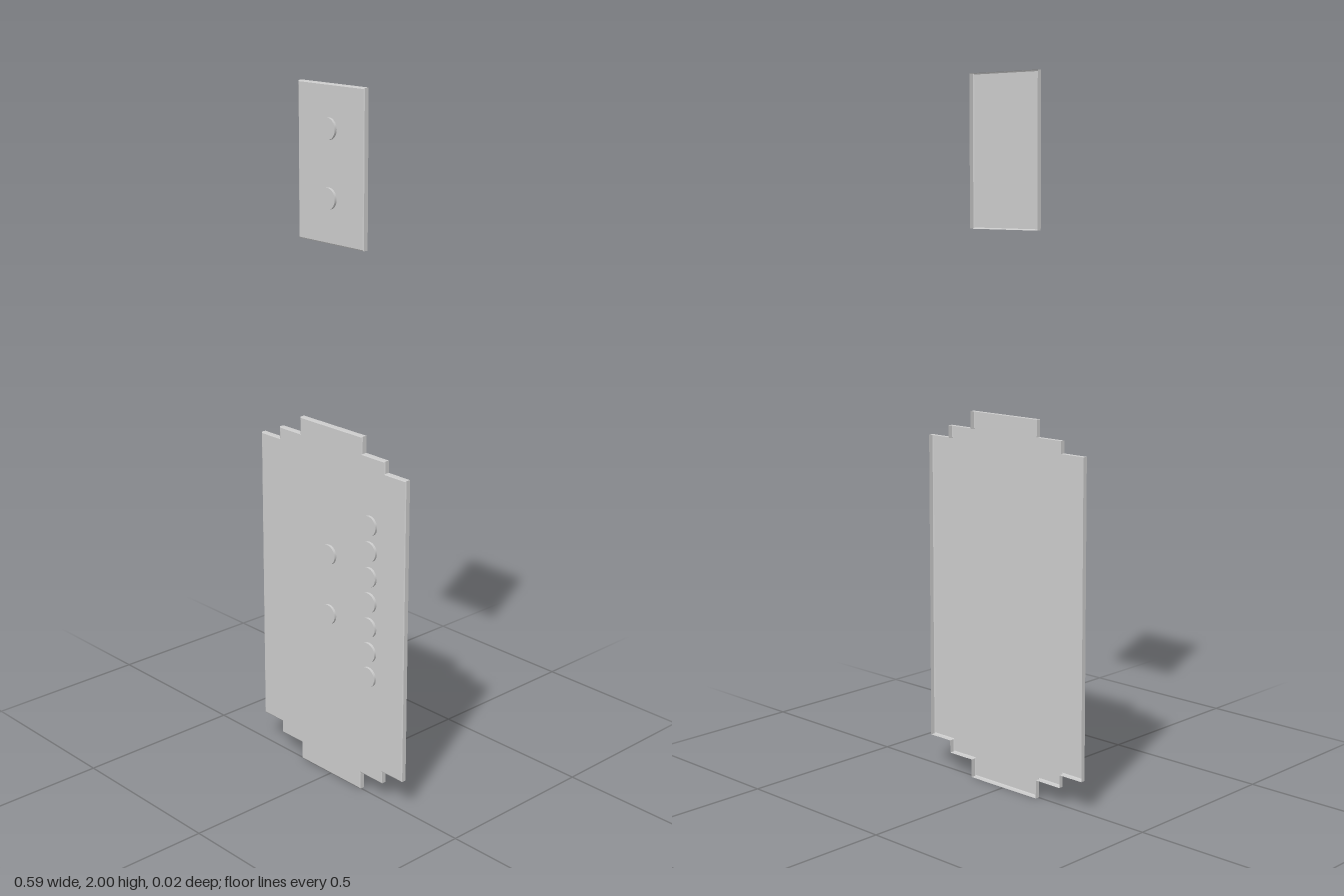
import * as THREE from 'three';

const BACK = -0.0115, SHOULDER = 0.002, FACE = 0.004, TIP = 0.0115, BEVEL = 0.003;

const material = new THREE.MeshStandardMaterial({ color: 0xcccccc, side: THREE.DoubleSide, flatShading: true });
const buttonMaterial = new THREE.MeshStandardMaterial({ color: 0xcccccc });

// Moves each corner of a right-angled counter-clockwise outline inward by d
function inset(points, d) {
  const n = points.length;
  const inward = (a, b) => {
    const e = b.clone().sub(a).normalize();
    return new THREE.Vector2(-e.y, e.x);
  };
  return points.map((p, i) => p.clone()
    .addScaledVector(inward(points[(i + n - 1) % n], p), d)
    .addScaledVector(inward(p, points[(i + 1) % n]), d));
}

// Strip of quads joining two matching outlines, facing outward
function wall(a, za, b, zb) {
  const pos = [];
  a.forEach((p, i) => {
    const j = (i + 1) % a.length;
    const p0 = [p.x, p.y, za], p1 = [a[j].x, a[j].y, za];
    const q0 = [b[i].x, b[i].y, zb], q1 = [b[j].x, b[j].y, zb];
    pos.push(...p0, ...p1, ...q1, ...p0, ...q1, ...q0);
  });
  const g = new THREE.BufferGeometry();
  g.setAttribute('position', new THREE.Float32BufferAttribute(pos, 3));
  g.computeVertexNormals();
  return g;
}

// Open-backed shallow tray with a bevelled front face
function panel(name, outline) {
  const group = new THREE.Group();
  group.name = name;
  const inner = inset(outline, BEVEL);
  const add = (part, geometry) => {
    const mesh = new THREE.Mesh(geometry, material);
    mesh.name = part;
    group.add(mesh);
  };
  add('sideWall', wall(outline, BACK, outline, SHOULDER));
  add('frontBevel', wall(outline, SHOULDER, inner, FACE));
  add('frontFace', new THREE.ShapeGeometry(new THREE.Shape(inner)).translate(0, 0, FACE));
  return group;
}

export function createModel() {
  const model = new THREE.Group();
  model.name = 'buttonPanels';

  // Main panel: the right half of the stepped outline, mirrored to the left
  const half = [
    [0.126, 0], [0.126, 0.053], [0.214, 0.053], [0.214, 0.09], [0.294, 0.09],
    [0.294, 0.988], [0.214, 0.988], [0.214, 1.023], [0.126, 1.023], [0.126, 1.072],
  ].map(([x, y]) => new THREE.Vector2(x, y));
  const mirrored = half.map(p => new THREE.Vector2(-p.x, p.y)).reverse();
  model.add(panel('mainPanel', [...half, ...mirrored]));

  // Small panel floating above
  model.add(panel('upperPanel', [[-0.126, 1.58], [0.126, 1.58], [0.126, 2], [-0.126, 2]]
    .map(([x, y]) => new THREE.Vector2(x, y))));

  // Round buttons: a pair on each panel and a column of seven
  const spots = [[-0.005, 1.885], [-0.005, 1.702], [-0.005, 0.693], [-0.005, 0.51]];
  for (let i = 0; i < 7; i++) spots.push([0.158, 0.37 + i * 0.0758]);
  const disc = new THREE.CylinderGeometry(0.029, 0.029, TIP - FACE, 32).rotateX(Math.PI / 2);
  spots.forEach(([x, y], i) => {
    const button = new THREE.Mesh(disc, buttonMaterial);
    button.name = i < 2 ? 'upperButton' : i < 4 ? 'centreButton' : 'columnButton';
    button.position.set(x, y, (TIP + FACE) / 2);
    model.add(button);
  });
  return model;
}
